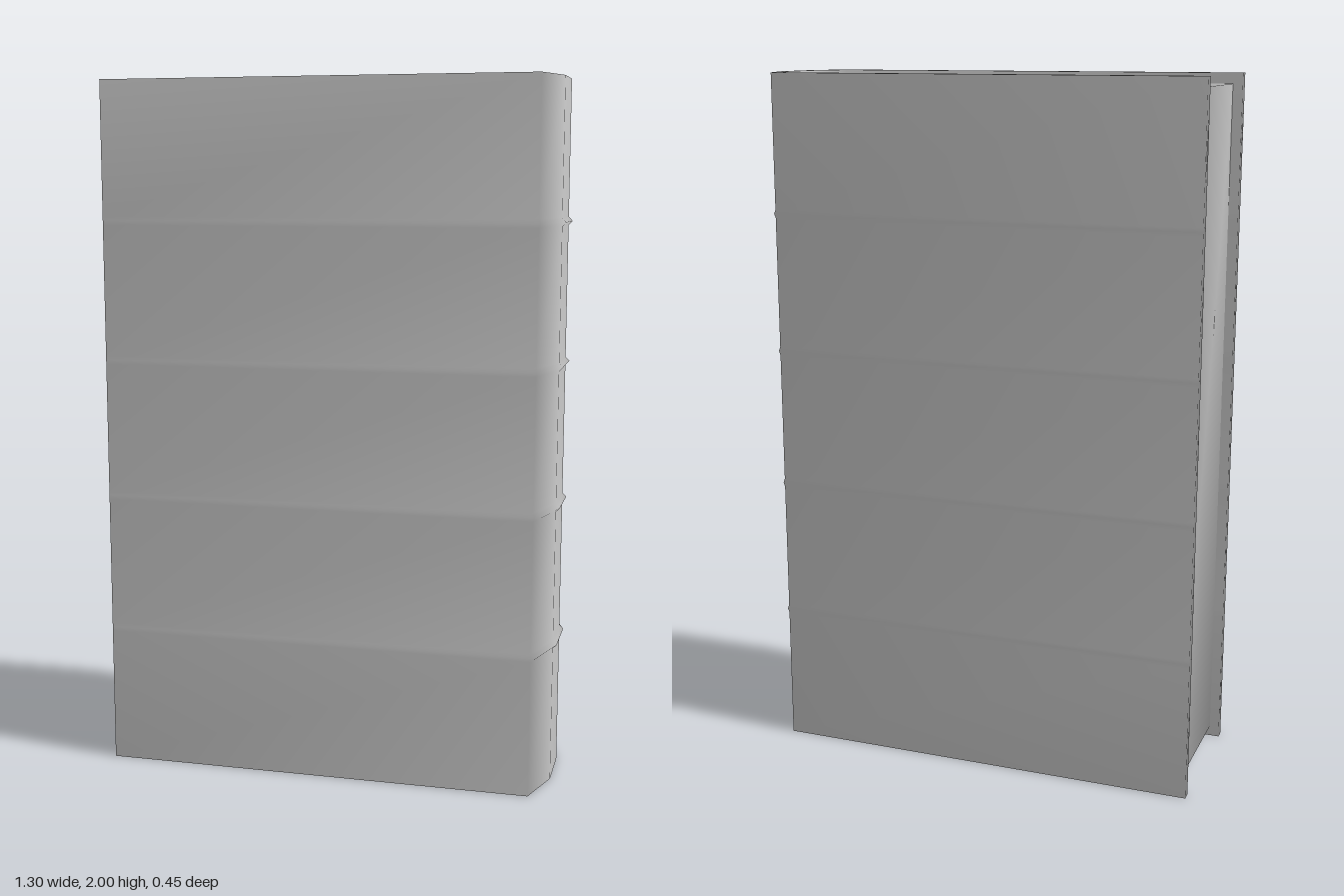
import * as THREE from 'three';

const material = new THREE.MeshStandardMaterial({ color: 0xcccccc });

// Smooth solid between two matching lines of [x, z, bump] points, stacked over rows of [y, bumpAmount].
// Sides a and b form one closed ring; the caps are strips of quads between them.
function loft(a, b, rows) {
  const ring = [...a, ...[...b].reverse()];
  const n = ring.length;
  const position = [];
  const index = [];
  const quad = (p, q, r, s) => index.push(p, q, r, p, r, s);

  for (const [y, amount] of rows) {
    for (const [x, z, bump = 0] of ring) {
      position.push(x + bump * amount, y, z + Math.sign(z) * bump * amount * 0.3);
    }
  }
  for (let r = 0; r < rows.length - 1; r++) {
    for (let i = 0; i < n; i++) {
      const j = (i + 1) % n;
      quad(r * n + i, r * n + j, (r + 1) * n + j, (r + 1) * n + i);
    }
  }
  const top = (rows.length - 1) * n;
  for (let i = 0; i < a.length - 1; i++) {
    const bi = n - 1 - i;
    quad(top + i, top + i + 1, top + bi - 1, top + bi);
    quad(i, bi, bi - 1, i + 1);
  }

  const geometry = new THREE.BufferGeometry();
  geometry.setAttribute('position', new THREE.Float32BufferAttribute(position, 3));
  geometry.setIndex(index);
  geometry.computeVertexNormals();
  return geometry;
}

// Mirrors the front half of an outline to the back
const mirrorZ = (half) => [...half, ...[...half].reverse().map(([x, z, bump]) => [x, -z, bump])];

export function createModel() {
  const book = new THREE.Group();
  book.name = 'book';

  const add = (name, geometry) => {
    const mesh = new THREE.Mesh(geometry, material);
    mesh.name = name;
    book.add(mesh);
  };

  // Boards and faceted spine in one wrap, with four raised bands across the spine
  const outer = mirrorZ([[-0.652, 0.226], [0.595, 0.226, 0.004], [0.641, 0.08, 0.011]]);
  const inner = mirrorZ([[-0.652, 0.2], [0.57, 0.2], [0.62, 0.073]]);
  const rows = [[0, 0]];
  for (let i = 1; i <= 4; i++) {
    const y = 0.4 * i + 0.005;
    rows.push([y - 0.012, 0], [y, 1], [y + 0.012, 0]);
  }
  rows.push([2, 0]);
  add('cover', loft(outer, inner, rows));

  // Page block, set back from the cover at the top, bottom and fore edge
  const pageFront = [[-0.624, 0.2], [0.57, 0.2], [0.62, 0.073]];
  const pageBack = pageFront.map(([x, z]) => [x, -z]);
  add('pages', loft(pageFront, pageBack, [[0.03, 0], [1.97, 0]]));

  return book;
}
